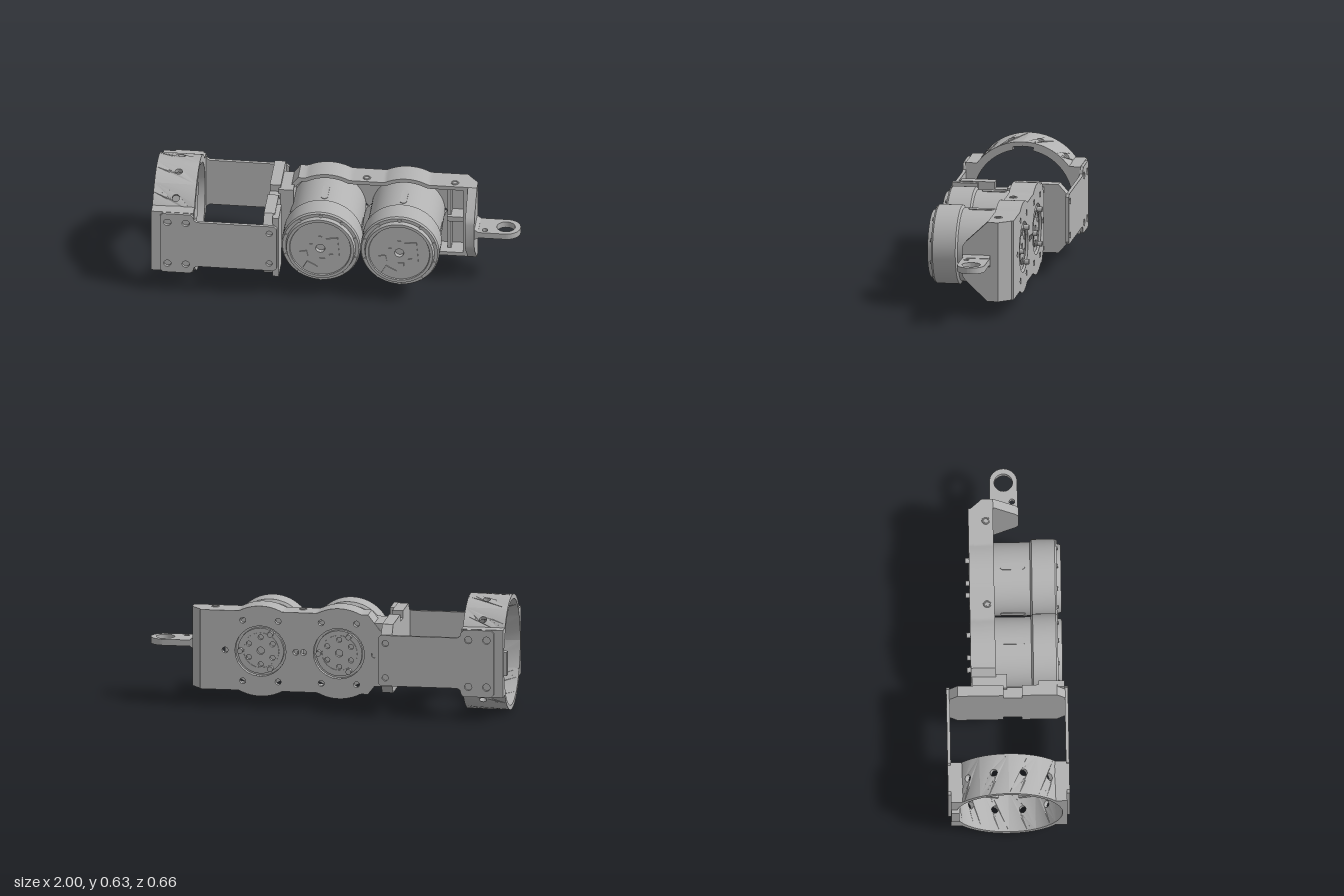
import * as THREE from 'three';
import { toCreasedNormals } from 'three/addons/utils/BufferGeometryUtils.js';

const CY = 0.315;               // height of the main axis
const MOTORS = [-0.06, 0.37];   // motor centres along x

const grey = new THREE.MeshStandardMaterial({ color: 0xb2b2b2 });
grey.name = 'machined grey';

const V = (x, y) => new THREE.Vector2(x, y);

function add(parent, name, geo, x = 0, y = 0, z = 0) {
  const m = new THREE.Mesh(toCreasedNormals(geo, 0.5), grey);
  m.name = name;
  m.position.set(x, y, z);
  parent.add(m);
  return m;
}

function box(parent, name, x0, x1, y0, y1, z0, z1) {
  return add(parent, name, new THREE.BoxGeometry(x1 - x0, y1 - y0, z1 - z0),
    (x0 + x1) / 2, (y0 + y1) / 2, (z0 + z1) / 2);
}

const circle = (x, y, r) => new THREE.Path().absarc(x, y, r, 0, Math.PI * 2, true);

function plate(points, holes, depth) {
  const s = new THREE.Shape(points);
  s.holes.push(...holes);
  return new THREE.ExtrudeGeometry(s, { depth, bevelEnabled: false, curveSegments: 12 });
}

// Profile given as [z, y] pairs, pushed along +x
const alongX = (zy, depth) => plate(zy.map(([z, y]) => V(-z, y)), [], depth).rotateY(Math.PI / 2);

const disc = (r) => new THREE.Shape().absarc(0, 0, r, 0, Math.PI * 2).getPoints(24);

// Wavy outline of the motor frame, inset by "off"
function frameOutline(off) {
  const top = [V(-0.29 + off, 0.13), V(-0.22 + off, 0.22 - off)];
  for (let i = 0; i <= 60; i++) {
    const x = -0.185 + i * 0.0125;
    let y = 0.22 - off;
    for (const c of MOTORS) y = Math.max(y, Math.sqrt(Math.max(0, (0.25 - off) ** 2 - (x - c) ** 2)));
    top.push(V(x, y));
  }
  top.push(V(0.7 - off, 0.22 - off));
  const bottom = top.map((p) => V(p.x, -p.y));
  return [...bottom, ...top.reverse()];
}

// Band of twelve bent panels with radial screw holes, plus inner lips
function buildRing() {
  const g = new THREE.Group();
  g.name = 'clampRing';
  const R = 0.315, t = 0.025, half = Math.PI / 12;
  for (let k = 0; k < 12; k++) {
    const mid = half + k * 2 * half;
    const edge = [];
    for (let i = 0; i <= 6; i++) edge.push(V((-1 + i / 3) * half * R, -0.98));
    for (let i = 6; i >= 0; i--) edge.push(V((-1 + i / 3) * half * R, -0.75));
    const sideways = Math.abs(Math.sin(mid)) > 0.9;
    const geo = plate(edge, sideways ? [] : [circle(0, -0.855, 0.02)], t);
    const p = geo.attributes.position;
    for (let i = 0; i < p.count; i++) {
      const a = mid + p.getX(i) / R, r = R - t + p.getZ(i);
      p.setXYZ(i, p.getY(i), r * Math.cos(a), r * Math.sin(a));
    }
    add(g, 'ringPanel', geo, 0, CY, 0);
  }
  for (const s of [0, Math.PI]) {
    const lip = new THREE.Shape();
    lip.absarc(0, 0, 0.295, s - 1.37, s + 1.37, false);
    lip.absarc(0, 0, 0.272, s + 1.37, s - 1.37, true);
    add(g, 'ringLip', new THREE.ExtrudeGeometry(lip, { depth: 0.04, bevelEnabled: false, curveSegments: 24 })
      .rotateY(Math.PI / 2), -0.79, CY, 0);
  }
  return g;
}

// Side arm with its mounting pad against the ring; s = +1 front, -1 back
function buildArm(s) {
  const g = new THREE.Group();
  g.name = s > 0 ? 'frontArm' : 'backArm';
  const half = [V(-0.93, 0.17), V(-0.915, 0.185), V(-0.765, 0.185), V(-0.75, 0.17),
    V(-0.745, 0.15), V(-0.73, 0.14), V(-0.31, 0.14), V(-0.295, 0.125)];
  const outline = [...half.map((p) => V(p.x, -p.y)), ...half.reverse()];
  const holes = [];
  for (const y of [-0.13, 0.13]) holes.push(circle(-0.89, y, 0.02), circle(-0.79, y, 0.02));
  for (const y of [-0.095, 0.095]) holes.push(circle(-0.335, y, 0.017));
  add(g, 'armPlate', plate(outline, holes, 0.018), 0, CY, s > 0 ? 0.312 : -0.33);

  const pad = [[0.315 * s, -0.187], [0.315 * s, 0.187]];
  for (let i = 0; i <= 12; i++) {
    const y = 0.187 - (i / 12) * 0.374;
    pad.push([s * Math.sqrt(0.308 ** 2 - y * y), y]);
  }
  add(g, 'mountingPad', alongX(pad, 0.23), -0.98, CY, 0);
  return g;
}

// Motor can with stepped cap, cooling slots and face details
function buildMotor() {
  const g = new THREE.Group();
  g.name = 'motor';
  const profile = [[0, -0.16], [0.2, -0.16], [0.2, 0.135], [0.215, 0.145], [0.215, 0.27], [0.208, 0.28],
    [0.19, 0.28], [0.184, 0.303], [0.168, 0.303], [0.165, 0.296], [0.025, 0.296], [0.025, 0.27], [0, 0.27]];
  add(g, 'motorBody', new THREE.LatheGeometry(profile.map(([r, z]) => V(r, z)), 64).rotateX(Math.PI / 2));

  const slot = new THREE.Shape();
  slot.absarc(0, 0.05, 0.018, 0, Math.PI, false);
  slot.absarc(0, -0.05, 0.018, Math.PI, Math.PI * 2, false);
  for (let i = 0; i < 4; i++) {
    const geo = new THREE.ExtrudeGeometry(slot, { depth: 0.007, bevelEnabled: false });
    geo.rotateX(-Math.PI / 2).translate(0, 0.196, 0.04).rotateZ(i * Math.PI / 2);
    add(g, 'coolingSlot', geo);
  }
  for (let i = 0; i < 10; i++) {
    const a = (i + 0.5) * Math.PI / 5;
    add(g, 'rimScrew', new THREE.CylinderGeometry(0.01, 0.01, 0.012, 10).rotateX(Math.PI / 2),
      0.198 * Math.cos(a), 0.198 * Math.sin(a), 0.28);
  }
  const L = [V(0.05, -0.06), V(0.105, -0.05), V(0.095, 0.075), V(0.03, 0.065), V(0.035, 0.03), V(0.065, 0.035), V(0.07, -0.03), V(0.047, -0.035)];
  add(g, 'facePocket', plate(L, [], 0.006), 0, 0, 0.296);
  for (const [x, y, w, h, a] of [[-0.09, -0.04, 0.04, 0.04, 0.2], [-0.055, -0.12, 0.065, 0.05, -0.5],
    [0, 0.065, 0.02, 0.025, 0], [0.01, -0.07, 0.03, 0.02, 0], [-0.05, 0.02, 0.015, 0.015, 0]]) {
    add(g, 'faceTab', new THREE.BoxGeometry(w, h, 0.006), x, y, 0.298).rotation.z = a;
  }
  return g;
}

// Output hub on the back of each motor
function buildHub() {
  const g = new THREE.Group();
  g.name = 'outputHub';
  const holes = [circle(0, 0, 0.02)];
  for (let i = 0; i < 6; i++) {
    const a = (i + 0.5) * Math.PI / 3;
    holes.push(circle(0.075 * Math.cos(a), 0.075 * Math.sin(a), 0.014));
  }
  add(g, 'hubDisc', plate(disc(0.126), holes, 0.022), 0, 0, -0.186);
  add(g, 'hubRing', plate(disc(0.1), [circle(0, 0, 0.093)], 0.006), 0, 0, -0.191);
  for (let i = 0; i < 3; i++) {
    const a = i * Math.PI * 2 / 3;
    add(g, 'hubPin', new THREE.CylinderGeometry(0.015, 0.015, 0.05, 14).rotateX(Math.PI / 2),
      0.11 * Math.cos(a), 0.11 * Math.sin(a), -0.19);
  }
  return g;
}

export function createModel() {
  const model = new THREE.Group();
  model.name = 'motorArm';
  model.add(buildRing(), buildArm(1), buildArm(-1));
  box(model, 'ringKey', -1, -0.97, 0.25, 0.38, -0.313, -0.27);

  // Cross plate joining both arms, notched top and bottom
  const half = [[-0.315, 0.14], [-0.27, 0.19], [-0.02, 0.19], [-0.02, 0.15], [0.08, 0.15], [0.08, 0.19], [0.27, 0.19], [0.315, 0.14]];
  const cross = [...half, ...half.map(([z, y]) => [z, -y]).reverse()];
  add(model, 'crossPlate', alongX(cross, 0.06), -0.37, CY, 0);
  box(model, 'crossPad', -0.32, -0.285, 0.13, 0.5, 0.17, 0.312);
  box(model, 'coupling', -0.32, -0.24, 0.14, 0.49, -0.19, 0);

  // Tray-shaped frame: perforated back plate and wavy wall
  const holes = [];
  for (const c of MOTORS) {
    holes.push(circle(c, 0, 0.14));
    for (let i = 0; i < 6; i++) {
      const a = i * Math.PI / 3;
      holes.push(circle(c + 0.194 * Math.cos(a), 0.194 * Math.sin(a), 0.016));
    }
  }
  add(model, 'frameBack', plate(frameOutline(0), holes, 0.03), 0, CY, -0.195);
  add(model, 'frameWall', plate(frameOutline(0), [new THREE.Path(frameOutline(0.022))], 0.105), 0, CY, -0.165);
  box(model, 'frameRib', 0.59, 0.69, 0.3, 0.33, -0.17, -0.08);
  box(model, 'frameCrossRib', 0.59, 0.61, 0.12, 0.51, -0.17, -0.1);
  for (const x of [0.15, 0.63]) for (const s of [-1, 1]) {
    add(model, 'wallScrew', new THREE.TorusGeometry(0.017, 0.005, 8, 20).rotateX(Math.PI / 2), x, CY + s * 0.22, -0.1);
  }

  for (const c of MOTORS) {
    const motor = buildMotor(), hub = buildHub();
    motor.position.set(c, CY, 0);
    hub.position.set(c, CY, 0);
    model.add(motor, hub);
  }

  // End wall with bevelled back edge and tapered flange
  const bevel = [V(0.68, 0.06), V(0.755, 0.06), V(0.755, 0.12), V(0.69, 0.195), V(0.68, 0.195)];
  add(model, 'endWall', plate(bevel, [], 0.44).rotateX(-Math.PI / 2), 0, 0.095, 0);
  const side = [[-0.12, 0.22], [-0.06, 0.22], [0.062, 0.105], [0.075, 0.085], [0.08, 0.065]];
  const flange = [...side, ...side.map(([z, y]) => [z, -y]).reverse()];
  add(model, 'endFlange', alongX(flange, 0.05), 0.705, CY, 0);

  // Eye lug
  const lug = new THREE.Shape();
  lug.moveTo(0.74, 0.075);
  lug.lineTo(0.74, -0.075);
  lug.absarc(0.925, 0, 0.075, -Math.PI / 2, Math.PI / 2, false);
  lug.holes.push(circle(0.92, 0, 0.05), circle(0.81, -0.045, 0.015));
  add(model, 'eyeLug', new THREE.ExtrudeGeometry(lug, { depth: 0.034, bevelEnabled: false, curveSegments: 20 })
    .rotateX(-Math.PI / 2), 0, 0.302, 0);
  const root = [V(0.75, 0.285), V(0.775, 0.3), V(0.775, 0.338), V(0.75, 0.355)];
  add(model, 'lugRoot', plate(root, [], 0.15), 0, 0, -0.075);

  return model;
}
